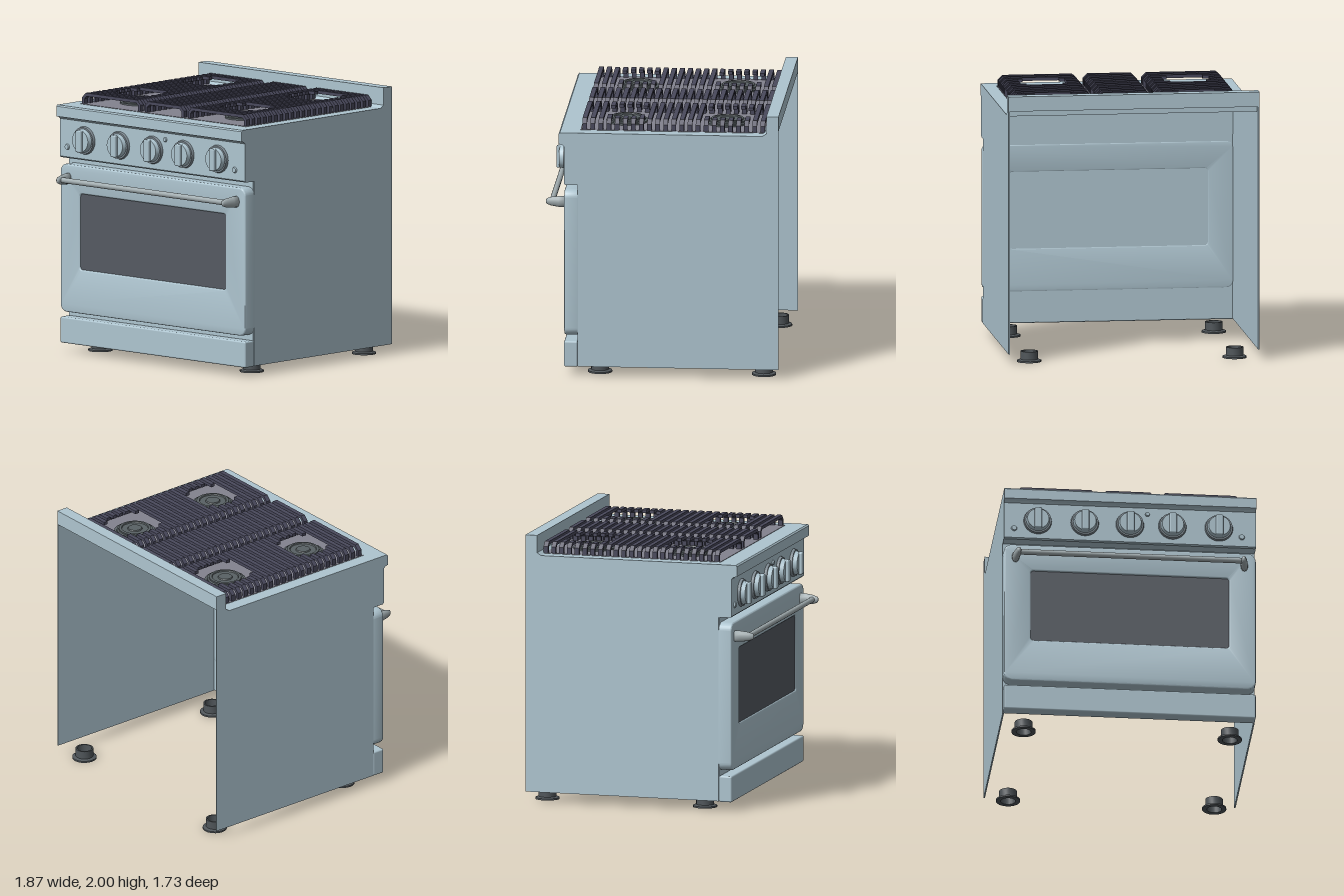
import * as THREE from 'three';
import { toCreasedNormals } from 'three/addons/utils/BufferGeometryUtils.js';
import { RoundedBoxGeometry } from 'three/addons/geometries/RoundedBoxGeometry.js';

const mat = (name, color, side = THREE.FrontSide) => {
  const m = new THREE.MeshStandardMaterial({ color, side });
  m.name = name;
  return m;
};

export function createModel() {
  const root = new THREE.Group();
  root.name = 'kitchenRange';
  const enamel = mat('blueEnamel', 0xaec5d0, THREE.DoubleSide);
  const glass = mat('ovenGlass', 0x555a62);
  const castIron = mat('castIron', 0x49495c);
  const plateGrey = mat('plateGrey', 0x83838f, THREE.DoubleSide);
  const burnerGrey = mat('burnerGrey', 0x596164);
  const footGrey = mat('footGrey', 0x50565a, THREE.DoubleSide);
  const steel = mat('steel', 0xa2adb0);
  const knobRing = mat('knobRing', 0x7f8b93);

  const add = (name, geo, material, x = 0, y = 0, z = 0, parent = root) => {
    const m = new THREE.Mesh(geo, material);
    m.name = name;
    m.position.set(x, y, z);
    parent.add(m);
    return m;
  };
  const box = (name, material, x0, x1, y0, y1, z0, z1, parent = root) =>
    add(name, new THREE.BoxGeometry(x1 - x0, y1 - y0, z1 - z0), material,
      (x0 + x1) / 2, (y0 + y1) / 2, (z0 + z1) / 2, parent);
  const polygon = pts => new THREE.Shape(pts.map(p => new THREE.Vector2(...p)));
  // Side profile given as [z, y], extruded along x and centred
  const acrossX = (pts, width) => new THREE.ExtrudeGeometry(polygon(pts), { depth: width, bevelEnabled: false })
    .translate(0, 0, -width / 2).rotateY(-Math.PI / 2);
  const roundRect = (s, x0, x1, y0, y1, r) => {
    s.moveTo(x0 + r, y0);
    s.absarc(x1 - r, y0 + r, r, -Math.PI / 2, 0);
    s.absarc(x1 - r, y1 - r, r, 0, Math.PI / 2);
    s.absarc(x0 + r, y1 - r, r, Math.PI / 2, Math.PI);
    s.absarc(x0 + r, y0 + r, r, Math.PI, Math.PI * 1.5);
    return s;
  };

  // Open cabinet: two side sheets and a front wall, no back or bottom
  const sidePts = [[0.625, 0.075], [0.625, 1.85], [-0.755, 1.85], [-0.775, 1.87],
    [-0.775, 2], [-0.865, 2], [-0.865, 0.075]];
  for (const s of [-1, 1]) {
    add(s > 0 ? 'leftSide' : 'rightSide', acrossX(sidePts, 0.01), enamel, s * 0.93);
  }
  box('frontWall', enamel, -0.925, 0.925, 0.08, 1.845, 0.617, 0.627);

  // Folded backguard, hollow from behind
  add('backguard', acrossX([[-0.745, 1.85], [-0.775, 1.87], [-0.775, 2], [-0.865, 2], [-0.865, 1.89],
    [-0.857, 1.89], [-0.857, 1.992], [-0.783, 1.992], [-0.783, 1.842], [-0.745, 1.842]], 1.87), enamel);

  // Cooktop deck with an opening filled by the burner plate
  const deck = polygon([[-0.93, -0.625], [0.93, -0.625], [0.93, 0.76], [-0.93, 0.76]]);
  deck.holes.push(polygon([[-0.835, -0.61], [-0.835, 0.758], [0.835, 0.758], [0.835, -0.61]]));
  add('cooktopDeck', new THREE.ExtrudeGeometry(deck, { depth: 0.01, bevelEnabled: false })
    .rotateX(-Math.PI / 2), enamel, 0, 1.84, 0);
  box('burnerPlate', plateGrey, -0.835, 0.835, 1.842, 1.853, -0.758, 0.61);

  // Control panel with overhanging lip
  add('controlPanel', acrossX([[0.615, 1.455], [0.715, 1.455], [0.725, 1.465], [0.725, 1.745],
    [0.738, 1.758], [0.765, 1.765], [0.765, 1.84], [0.755, 1.85], [0.615, 1.85]], 1.87), enamel);

  // Bottom drawer
  add('drawer', new RoundedBoxGeometry(1.87, 0.195, 0.1, 2, 0.012), enamel, 0, 0.1675, 0.675);

  // Oven door with rounded corners and window opening
  const door = roundRect(new THREE.Shape(), -0.935, 0.935, 0.305, 1.41, 0.06);
  door.holes.push(roundRect(new THREE.Path(), -0.735, 0.735, 0.635, 1.2, 0.02));
  add('ovenDoor', toCreasedNormals(new THREE.ExtrudeGeometry(door, {
    depth: 0.085, bevelThickness: 0.012, bevelSize: 0.012, bevelOffset: -0.012, bevelSegments: 3, curveSegments: 8,
  }), 0.6), enamel, 0, 0, 0.627);
  box('ovenWindow', glass, -0.745, 0.745, 0.625, 1.21, 0.706, 0.714);

  // Door handle with tapered brackets
  const handle = new THREE.Group();
  handle.name = 'doorHandle';
  root.add(handle);
  add('handleBar', new THREE.CylinderGeometry(0.021, 0.021, 1.68, 16).rotateZ(Math.PI / 2), steel, 0, 1.305, 0.82, handle);
  const bracketPts = [[0, 0], [0.042, 0], [0.041, 0.05], [0.033, 0.11], [0.022, 0.142], [0.012, 0.148], [0, 0.149]];
  for (const s of [-1, 1]) {
    const bracket = new THREE.LatheGeometry(bracketPts.map(p => new THREE.Vector2(...p)), 12)
      .rotateX(Math.PI / 2).scale(0.65, 1, 1);
    const b = add('handleBracket', bracket, steel, s * 0.85, 1.305, 0.718, handle);
    b.rotation.y = -s * 0.12;
  }

  // Control knobs
  for (const x of [-0.685, -0.335, 0, 0.315, 0.66]) {
    const knob = new THREE.Group();
    knob.name = 'knob';
    knob.position.set(x, 1.605, 0.725);
    root.add(knob);
    const disc = (name, r0, r1, z0, z1, m) =>
      add(name, new THREE.CylinderGeometry(r1, r0, z1 - z0, 28).rotateX(Math.PI / 2), m, 0, 0, (z0 + z1) / 2, knob);
    disc('knobRing', 0.106, 0.1, -0.005, 0.02, knobRing);
    disc('knobBody', 0.088, 0.08, 0.02, 0.052, enamel);
    add('knobGrip', new RoundedBoxGeometry(0.054, 0.165, 0.045, 2, 0.01), enamel, 0, 0, 0.053, knob);
  }

  // Indicator buttons
  for (const [x, y, r] of [[-0.86, 1.54, 0.023], [0.83, 1.54, 0.023], [0.13, 1.695, 0.018]]) {
    add('button', new THREE.CylinderGeometry(r * 0.8, r, 0.012, 12).rotateX(Math.PI / 2), enamel, x, y, 0.73);
  }

  // Burners: stacked discs
  const burnerPts = [[0.155, 0], [0.155, 0.012], [0.135, 0.014], [0.135, 0.024], [0.12, 0.026],
    [0.12, 0.036], [0.1, 0.038], [0.096, 0.03], [0.055, 0.03], [0.05, 0.038], [0, 0.038]];
  const burnerGeo = toCreasedNormals(
    new THREE.LatheGeometry(burnerPts.map(p => new THREE.Vector2(...p)), 20), 0.5);
  for (const x of [-0.53, 0.53]) {
    for (const z of [-0.455, 0.285]) add('burner', burnerGeo, burnerGrey, x, 1.853, z);
  }

  // Grate bars: bridges with chamfered shoulders, shortened around burners
  const low = 1.852, high = 1.935, t = 0.024, c = 0.035, depth = 0.034;
  const bridge = (x0, x1) => polygon([[x0, low], [x0 + t, low], [x0 + t, high - c - 0.008],
    [x0 + c + 0.008, high - t], [x1 - c - 0.008, high - t], [x1 - t, high - c - 0.008], [x1 - t, low],
    [x1, low], [x1, high - c], [x1 - c, high], [x0 + c, high], [x0, high - c]]);
  // Finger standing on a leg at x0, reaching to x1 (x0 < x1)
  const finger = (x0, x1) => polygon([[x0, low], [x0 + t, low], [x0 + t, high - c - 0.008],
    [x0 + c + 0.008, high - t], [x1, high - t], [x1, high], [x0 + c, high], [x0, high - c]]);
  const barGeo = shape => new THREE.ExtrudeGeometry(shape, { depth, bevelEnabled: false }).translate(0, 0, -depth / 2);
  const grates = new THREE.Group();
  grates.name = 'grates';
  root.add(grates);
  const sideBar = barGeo(bridge(-0.83, -0.24));
  const middleBar = barGeo(bridge(-0.197, 0.197));
  const fingers = [0, 0.04].map(d => [
    barGeo(finger(-0.83, -0.67 - d)),
    barGeo(finger(0.24, 0.4 - d)).rotateY(Math.PI),
  ]);
  for (let i = 0; i < 23; i++) {
    const z = -0.74 + i * 0.06;
    add('middleGrateBar', middleBar, castIron, 0, 0, z, grates);
    const cut = (i >= 2 && i <= 7) || (i >= 15 && i <= 19);
    const near = (i >= 3 && i <= 6) || (i >= 16 && i <= 18);
    for (const s of [0, Math.PI]) {
      for (const g of cut ? fingers[near ? 1 : 0] : [sideBar]) {
        add('sideGrateBar', g, castIron, 0, 0, z, grates).rotation.y = s;
      }
    }
  }

  // Hollow feet with flanged bases
  const footPts = [[0.055, 0.006], [0.055, 0.08], [0.066, 0.08], [0.066, 0.02], [0.09, 0.012],
    [0.09, 0], [0.055, 0], [0.055, 0.006]];
  const footGeo = toCreasedNormals(
    new THREE.LatheGeometry(footPts.map(p => new THREE.Vector2(...p)).reverse(), 20), 0.5);
  for (const x of [-0.765, 0.765]) {
    for (const z of [0.47, -0.745]) add('foot', footGeo, footGrey, x, 0, z);
  }
  return root;
}
